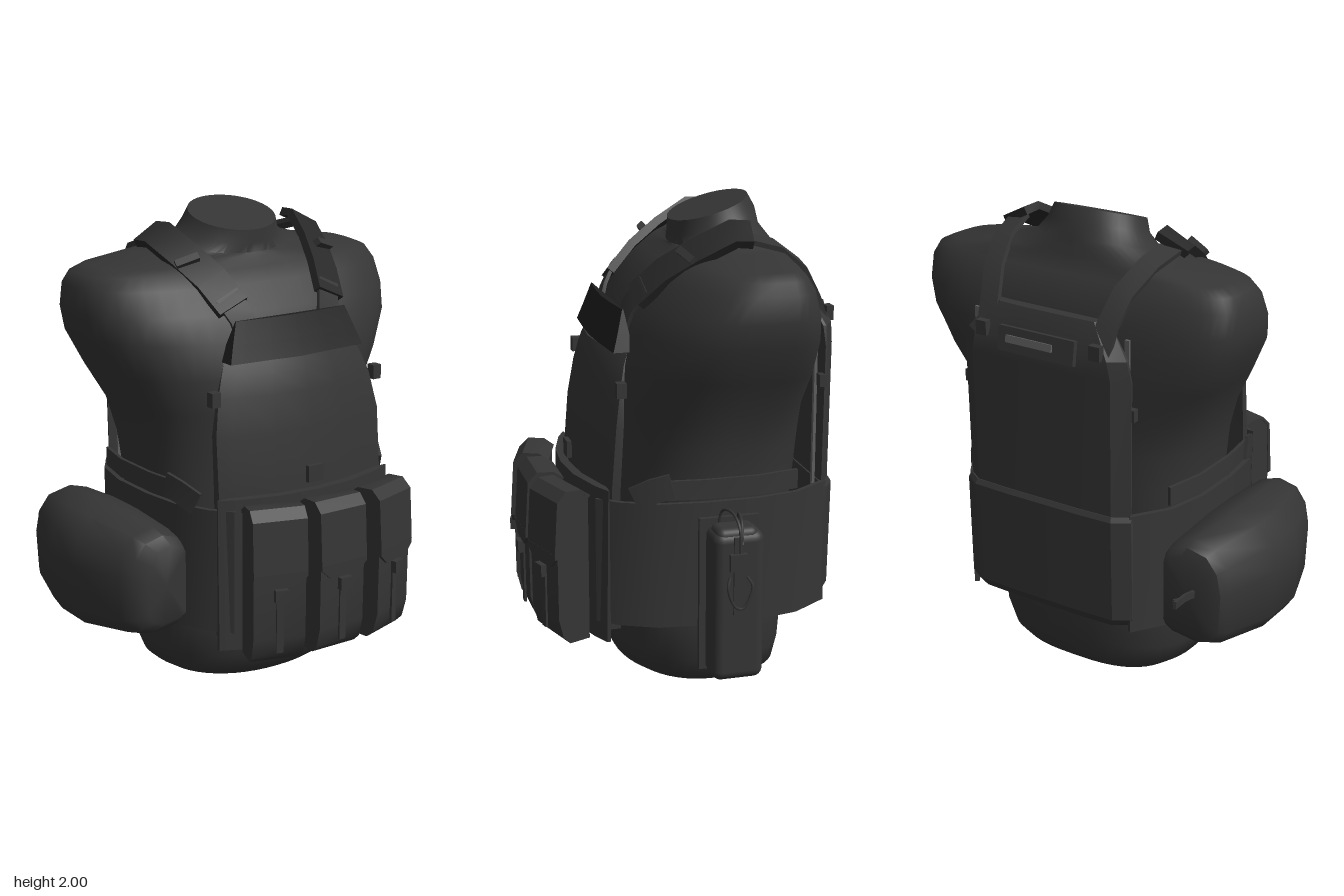
import * as THREE from 'three';
import { toCreasedNormals } from 'three/addons/utils/BufferGeometryUtils.js';
import { RoundedBoxGeometry } from 'three/addons/geometries/RoundedBoxGeometry.js';

const CX = 0.065; // body axis; the side bag shifts the whole model
const V = (x, y, z) => new THREE.Vector3(x, y, z);

const material = (name, color) => {
  const m = new THREE.MeshStandardMaterial({ color });
  m.name = name;
  return m;
};

// Skin a list of equal-length closed rings, cap both ends, face outwards.
function loft(rings, crease = 0.6) {
  const n = rings[0].length, pos = [], idx = [];
  for (const r of rings) for (const p of r) pos.push(p.x, p.y, p.z);
  for (let i = 0; i < rings.length - 1; i++) {
    for (let j = 0; j < n; j++) {
      const a = i * n + j, b = i * n + (j + 1) % n;
      idx.push(a, a + n, b, b, a + n, b + n);
    }
  }
  for (const end of [0, rings.length - 1]) {
    const c = rings[end].reduce((s, p) => s.add(p), V(0, 0, 0)).divideScalar(n);
    const k = pos.length / 3;
    pos.push(c.x, c.y, c.z);
    for (let j = 0; j < n; j++) {
      const a = end * n + j, b = end * n + (j + 1) % n;
      if (end === 0) idx.push(k, a, b); else idx.push(k, b, a);
    }
  }
  // flip the winding if the enclosed volume is negative
  const at = (i) => V(pos[3 * i], pos[3 * i + 1], pos[3 * i + 2]);
  let vol = 0;
  for (let i = 0; i < idx.length; i += 3) vol += at(idx[i]).dot(at(idx[i + 1]).cross(at(idx[i + 2])));
  if (vol < 0) idx.reverse();
  const g = new THREE.BufferGeometry();
  g.setAttribute('position', new THREE.Float32BufferAttribute(pos, 3));
  g.setIndex(idx);
  return toCreasedNormals(g, crease);
}

// Flat webbing along a path; side is the rough width direction.
function strip(points, side, width, thick = 0.015) {
  return loft(points.map((p, i) => {
    const t = points[Math.min(i + 1, points.length - 1)].clone().sub(points[Math.max(i - 1, 0)]).normalize();
    const s = side.clone().addScaledVector(t, -side.dot(t)).normalize();
    const nrm = t.clone().cross(s);
    return [[1, 1], [-1, 1], [-1, -1], [1, -1]].map(([a, b]) =>
      p.clone().addScaledVector(s, a * width / 2).addScaledVector(nrm, b * thick / 2));
  }));
}

// Vest panel from rows of [y, half width, outer z, inner z]; drops bend it at the sides.
function panel(rows, drops) {
  const us = [-1, -0.83, -0.42, 0, 0.42, 0.83, 1];
  return loft(rows.map(([y, w, zo, zi]) => {
    const outer = us.map((u, i) => V(u * w, y, zo - drops[Math.abs(i - 3)]));
    const inner = us.map((u) => V(u * w, y, zi)).reverse();
    return outer.concat(inner);
  }), 0.45);
}

// Body rows: [y, half width, front z, back z, tilt]
const BODY = [
  [0, 0.28, 0.11, -0.33, 0], [0.02, 0.37, 0.19, -0.39, 0], [0.06, 0.43, 0.245, -0.415, 0],
  [0.15, 0.47, 0.29, -0.43, 0], [0.3, 0.485, 0.31, -0.44, 0], [0.6, 0.49, 0.3, -0.45, 0],
  [0.9, 0.505, 0.29, -0.48, 0], [1.05, 0.525, 0.285, -0.49, 0], [1.2, 0.565, 0.285, -0.49, 0],
  [1.35, 0.64, 0.275, -0.49, 0], [1.5, 0.715, 0.23, -0.48, 0], [1.6, 0.735, 0.18, -0.47, 0],
  [1.7, 0.728, 0.11, -0.44, 0], [1.75, 0.7, 0.06, -0.41, 0], [1.775, 0.64, 0.03, -0.39, 0.02],
  [1.805, 0.42, 0.01, -0.38, 0.06], [1.84, 0.27, 0.0, -0.36, 0.22], [1.89, 0.215, 0.0, -0.35, 0.3],
  [1.945, 0.195, 0.0, -0.32, 0.32],
];

function bodyRing([y, w, zf, zb, tilt]) {
  // shoulders are squarer and set further back than the waist and neck
  const arm = THREE.MathUtils.smoothstep(y, 1.1, 1.5) * (1 - THREE.MathUtils.smoothstep(y, 1.76, 1.84));
  const zc = (zf + zb) / 2 - 0.05 * arm, ring = [];
  for (let i = 0; i < 48; i++) {
    const a = i / 48 * Math.PI * 2, c = Math.cos(a), s = Math.sin(a);
    const e = 2 / (y > 1.83 ? 2 : s > 0 ? 2.2 + 0.4 * arm : 2.8 + 1.7 * arm);
    const z = zc + Math.sign(s) * Math.abs(s) ** e * (s > 0 ? zf - zc : zc - zb);
    ring.push(V(Math.sign(c) * Math.abs(c) ** e * w, y + tilt * (zc - z), z));
  }
  return ring;
}

export function createModel() {
  const fabric = material('charcoal fabric', 0x353535);
  const padding = material('dark padding', 0x282828);
  const shade = material('black lining', 0x1f1f1f);
  const webbing = material('grey webbing', 0x606060);
  const root = new THREE.Group();
  root.name = 'vestOnTorso';
  const vest = new THREE.Group();
  vest.name = 'vest';
  vest.position.x = CX;
  root.add(vest);

  const add = (name, geo, mat = fabric, parent = vest) => {
    const m = new THREE.Mesh(geo, mat);
    m.name = name;
    parent.add(m);
    return m;
  };
  const box = (name, w, h, d, x, y, z, parent = vest, mat = fabric) => {
    const m = add(name, new THREE.BoxGeometry(w, h, d), mat, parent);
    m.position.set(x, y, z);
    return m;
  };
  const soft = (name, w, h, d, r, x, y, z, parent = vest) => {
    const m = add(name, new RoundedBoxGeometry(w, h, d, 3, r), fabric, parent);
    m.position.set(x, y, z);
    return m;
  };

  add('torso', loft(BODY.map(bodyRing), 0.9));

  // Front plate carrier with its sloped top flap, and the pouch backing
  const curve = [0, 0.015, 0.06, 0.085];
  add('frontPlate', panel([[0.3, 0.4, 0.44, 0.31], [0.9, 0.41, 0.43, 0.31], [1.15, 0.408, 0.41, 0.295],
    [1.3, 0.38, 0.385, 0.285], [1.38, 0.352, 0.365, 0.275], [1.43, 0.33, 0.345, 0.265]], curve));
  add('topFlap', panel([[1.43, 0.33, 0.335, 0.25], [1.5, 0.305, 0.312, 0.245], [1.59, 0.272, 0.285, 0.26]],
    [0, 0.005, 0.015, 0.02]), shade);
  add('pouchBacking', panel([[0.26, 0.43, 0.475, 0.36], [0.9, 0.43, 0.465, 0.36]], [0, 0.015, 0.065, 0.1]));
  box('frontTab', 0.075, 0.07, 0.02, 0, 0.96, 0.435);

  // Back plate carrier, lower pocket and drag handle
  const bevel = [0, 0, -0.006, -0.05];
  add('backPlate', panel([[0.38, 0.39, -0.59, -0.535], [1.42, 0.4, -0.597, -0.54], [1.5, 0.38, -0.598, -0.535],
    [1.63, 0.27, -0.545, -0.5]], bevel));
  add('backPocket', panel([[0.35, 0.38, -0.575, -0.52], [0.39, 0.405, -0.6, -0.52], [0.83, 0.405, -0.608, -0.53],
    [0.85, 0.4, -0.597, -0.53]], bevel));
  box('dragHandle', 0.36, 0.1, 0.022, 0, 1.51, -0.605).rotation.x = 0.15;
  box('handleWebbing', 0.22, 0.03, 0.008, 0.03, 1.515, -0.619, vest, webbing).rotation.x = 0.15;

  // Three flapped pouches fanned around the front
  const profile = [[-0.07, 0.255], [-0.07, 0.86], [-0.03, 0.885], [0.03, 0.885], [0.06, 0.85],
    [0.072, 0.62], [0.07, 0.36], [0.05, 0.28], [0.02, 0.25]];
  const tip = new THREE.Shape([[-0.114, 0.64], [-0.114, 0.62], [-0.07, 0.58], [0.07, 0.58], [0.114, 0.62], [0.114, 0.64]]
    .map(([x, y]) => new THREE.Vector2(x, y)));
  for (const i of [-1, 0, 1]) {
    const pouch = new THREE.Group();
    pouch.name = 'frontPouch';
    pouch.position.set(i * 0.27, 0, i ? 0.53 : 0.555);
    pouch.rotation.y = i * 0.3;
    vest.add(pouch);
    add('pouchBody', loft([-0.11, 0.11].map((x) => profile.map(([z, y]) => V(x, y, z)))), fabric, pouch);
    add('pouchFlap', strip([V(0, 0.86, -0.075), V(0, 0.888, -0.035), V(0, 0.89, 0.03), V(0, 0.855, 0.065),
      V(0, 0.64, 0.079)], V(1, 0, 0), 0.228, 0.014), fabric, pouch);
    const flapTip = add('flapTip', new THREE.ExtrudeGeometry(tip, { depth: 0.014, bevelEnabled: false }), fabric, pouch);
    flapTip.position.z = 0.072;
    box('pouchStrap', 0.03, 0.26, 0.01, 0, 0.43, 0.074, pouch);
    box('pouchBuckle', 0.055, 0.05, 0.025, 0, 0.55, 0.09, pouch);
  }

  for (const s of [-1, 1]) {
    const path = (list) => list.map(([x, y, z]) => V(s * x, y, z));
    // Waist wrap and the narrower belt above it
    const wrap = [[0.37, 0.40], [0.44, 0.32], [0.505, 0.18], [0.528, 0], [0.528, -0.22], [0.49, -0.4], [0.39, -0.55]];
    add('waistWrap', strip(path(wrap.map(([x, z]) => [x, 0.595, z])), V(0, 1, 0), 0.52, 0.02));
    add('upperBelt', strip(path(wrap.slice(2, 6).map(([x, z]) => [x - 0.008, 0.905, z])), V(0, 1, 0), 0.08));
    add('beltStrap', strip(path([[0.47, 0.87, 0.27], [0.505, 0.91, 0.2], [0.525, 0.93, 0.13]]), V(0, 1, 0), 0.1));
    // Shoulder pad, front anchor strap and back strap
    const side = V(s * 0.9, -0.45, 0);
    add('shoulderPad', strip(path([[0.375, 1.88, -0.23], [0.365, 1.885, -0.16], [0.325, 1.81, -0.02],
      [0.28, 1.73, 0.1], [0.24, 1.63, 0.2]]), side, 0.14, 0.035), padding);
    add('frontStrap', strip(path([[0.255, 1.68, 0.17], [0.215, 1.59, 0.225], [0.19, 1.48, 0.258]]), side, 0.11, 0.015));
    add('backStrap', strip(path([[0.375, 1.87, -0.2], [0.35, 1.83, -0.34], [0.31, 1.74, -0.46],
      [0.28, 1.62, -0.53], [0.27, 1.5, -0.575]]), V(s, -0.2, 0), 0.09, 0.02));
    const clip = box('padClip', 0.1, 0.04, 0.03, s * 0.34, 1.8, 0.02);
    clip.rotation.set(0.8, 0, -s * 0.45);
    box('strapClip', 0.05, 0.06, 0.03, s * 0.27, 1.53, -0.595);
    box('sideClip', 0.04, 0.06, 0.04, s * 0.405, 1.3, 0.305);
    box('rearClip', 0.04, 0.05, 0.03, s * 0.39, 1.28, -0.53);
    // Sliver of lining between back plate and torso
    box('backLining', 0.02, 0.75, 0.012, s * 0.36, 1.2, -0.512, vest, webbing);
  }

  // Large side bag, swept along z about its inner wall
  const bag = new THREE.Group();
  bag.name = 'sideBag';
  root.add(bag);
  const outline = [[0, 0.36], [-0.04, 0.335], [-0.2, 0.315], [-0.29, 0.34], [-0.33, 0.4], [-0.34, 0.6],
    [-0.315, 0.71], [-0.25, 0.785], [-0.13, 0.81], [-0.03, 0.785], [0, 0.75]];
  add('bagBody', loft([[-0.522, 0.6, 0.66], [-0.505, 0.74, 0.82], [-0.46, 0.8, 0.9], [-0.22, 1, 1], [-0.03, 1, 1],
    [0.2, 0.77, 0.9], [0.26, 0.68, 0.82], [0.29, 0.52, 0.66]].map(([z, sx, sy]) =>
    outline.map(([x, y]) => V(-0.47 + x * sx, 0.56 + (y - 0.56) * sy, z))), 0.75), fabric, bag);
  add('bagPullTab', strip([V(-0.61, 0.58, -0.51), V(-0.605, 0.59, -0.58), V(-0.615, 0.6, -0.67)],
    V(0, 1, 0), 0.03, 0.012), fabric, bag);
  add('bagPullCord', strip([V(-0.6, 0.58, -0.52), V(-0.585, 0.57, -0.57), V(-0.575, 0.58, -0.62)],
    V(0, 1, 0), 0.02, 0.008), fabric, bag);

  // Narrow side pouch with cover, buckle and pull cords
  const kit = new THREE.Group();
  kit.name = 'sidePouch';
  root.add(kit);
  box('kitBack', 0.02, 0.64, 0.245, 0.612, 0.475, -0.095, kit);
  soft('kitBody', 0.15, 0.62, 0.21, 0.04, 0.695, 0.465, -0.095, kit);
  soft('kitCover', 0.12, 0.12, 0.17, 0.03, 0.7, 0.73, -0.09, kit);
  box('kitStrap', 0.012, 0.32, 0.035, 0.773, 0.6, -0.085, kit);
  box('kitBuckle', 0.025, 0.07, 0.07, 0.778, 0.66, -0.085, kit);
  const cord = (pts) => add('kitCord',
    new THREE.TubeGeometry(new THREE.CatmullRomCurve3(pts), 24, 0.006, 6), fabric, kit);
  cord([V(0.62, 0.76, -0.05), V(0.64, 0.83, -0.06), V(0.7, 0.84, -0.08), V(0.77, 0.8, -0.09), V(0.79, 0.7, -0.09)]);
  cord([V(0.62, 0.76, -0.13), V(0.66, 0.82, -0.12), V(0.73, 0.81, -0.11), V(0.78, 0.73, -0.1)]);
  cord([V(0.78, 0.6, -0.05), V(0.79, 0.56, -0.04), V(0.79, 0.48, -0.07), V(0.79, 0.47, -0.1),
    V(0.79, 0.56, -0.14), V(0.78, 0.6, -0.12)]);
  return root;
}
